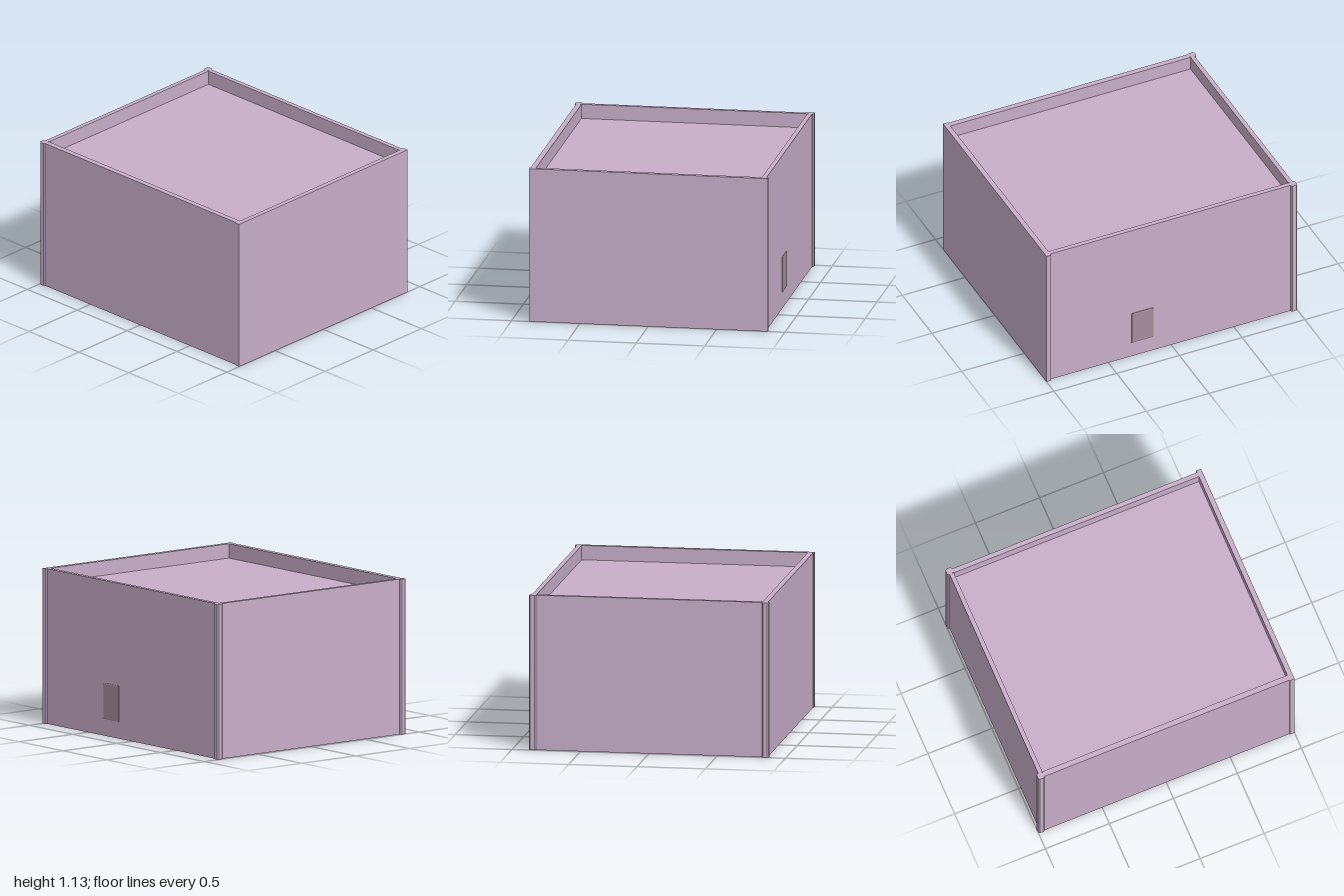
import * as THREE from 'three';

export function createModel() {
  const model = new THREE.Group();
  const H = 1.135;
  const shell = new THREE.MeshStandardMaterial({ color: 0xc8aec8 });
  const dark = new THREE.MeshStandardMaterial({ color: 0xa58c9c });

  // Box given by its lower and upper corners
  function box(name, x0, x1, y0, y1, z0, z1) {
    const mesh = new THREE.Mesh(new THREE.BoxGeometry(x1 - x0, y1 - y0, z1 - z0), shell);
    mesh.position.set((x0 + x1) / 2, (y0 + y1) / 2, (z0 + z1) / 2);
    mesh.name = name;
    model.add(mesh);
  }

  // Side walls between the corner posts
  box('leftWall', 0.963, 1, 0, H, -0.826, 0.826);
  box('rightWall', -0.984, -0.951, 0, H, -0.826, 0.826);
  box('frontWall', -0.951, 0.963, 0, H, 0.826, 0.866);
  box('backWall', -0.951, 0.963, 0, H, -0.86, -0.826);

  // Recessed lid and floor panels
  box('lidPanel', -0.951, 0.963, 1.0, 1.03, -0.826, 0.826);
  box('floorPanel', -0.951, 0.963, 0.04, 0.07, -0.826, 0.826);

  // Square posts on the left, flush with the left wall
  box('leftFrontPost', 0.963, 1, 0, H, 0.826, 0.872);
  box('leftBackPost', 0.963, 1, 0, H, -0.875, -0.826);

  // Chamfered posts on the right, standing proud of the walls
  const c = 0.009, w = 0.049;
  const outline = new THREE.Shape([
    [c, 0], [w - c, 0], [w, c], [w, w - c], [w - c, w], [c, w], [0, w - c], [0, c],
  ].map(([x, y]) => new THREE.Vector2(x, y)));
  for (const [name, z] of [['rightFrontPost', 0.875], ['rightBackPost', -0.826]]) {
    const post = new THREE.Mesh(
      new THREE.ExtrudeGeometry(outline, { depth: H, bevelEnabled: false }), shell);
    post.rotation.x = -Math.PI / 2;
    post.position.set(-1, 0, z - w);
    // the extruded outline runs towards -z, so start at the front edge
    post.position.z = z;
    post.name = name;
    model.add(post);
  }

  // Small plate with bevelled edges on the back wall
  const plateShape = new THREE.Shape([
    [-0.08, -0.125], [0.08, -0.125], [0.08, 0.125], [-0.08, 0.125],
  ].map(([x, y]) => new THREE.Vector2(x, y)));
  const plate = new THREE.Mesh(new THREE.ExtrudeGeometry(plateShape, {
    depth: 0.004, bevelThickness: 0.003, bevelSize: 0.006, bevelSegments: 1,
  }), dark);
  plate.rotation.y = Math.PI;
  plate.position.set(0.23, 0.255, -0.861);
  plate.name = 'backPlate';
  model.add(plate);

  return model;
}
